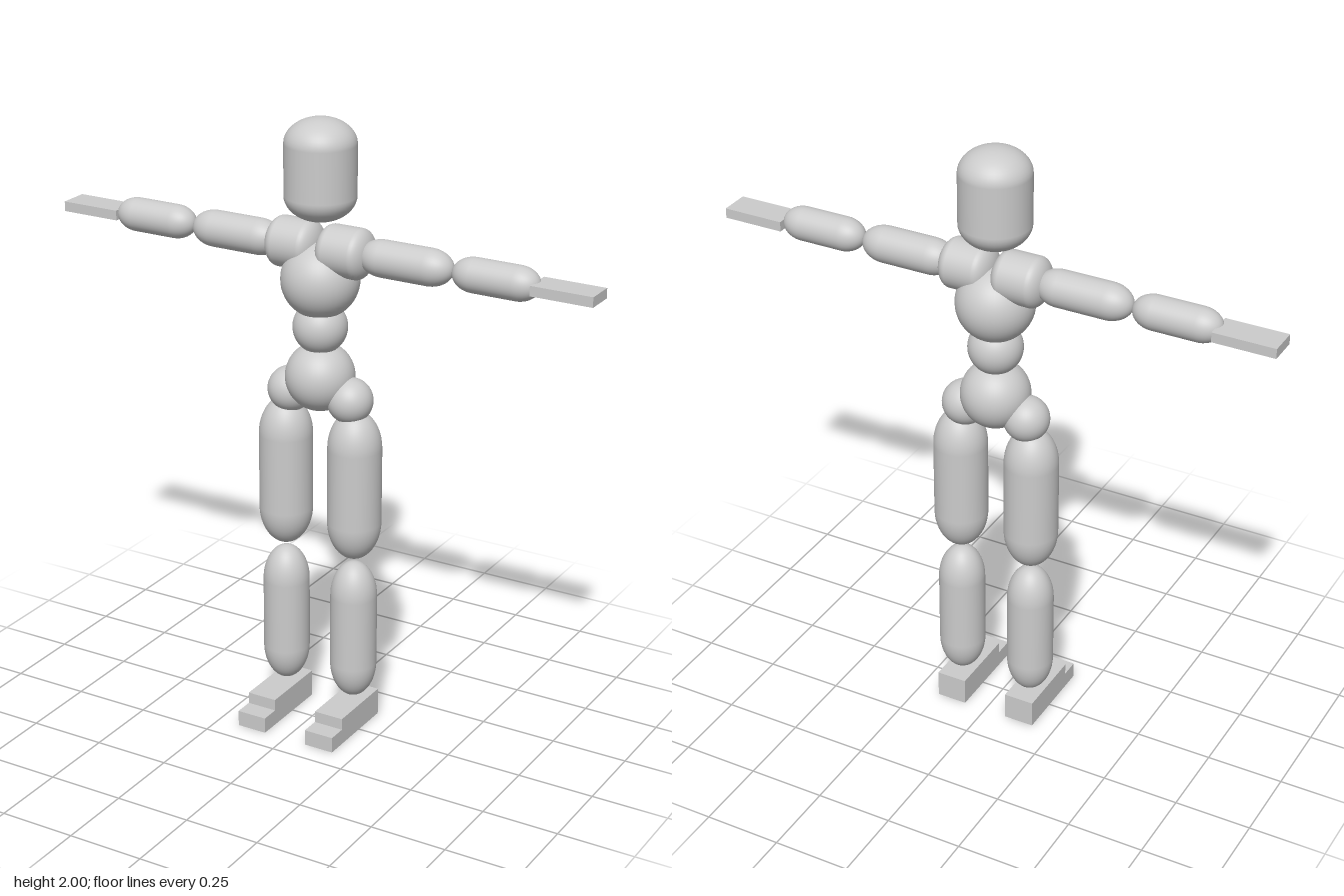
import * as THREE from 'three';

const material = new THREE.MeshStandardMaterial({ color: 0xcccccc });
const Z = -0.047; // depth of the body's centre line

function addPart(parent, name, geometry, x, y, z = Z) {
  const mesh = new THREE.Mesh(geometry, material);
  mesh.name = name;
  mesh.position.set(x, y, z);
  parent.add(mesh);
  return mesh;
}

// Capsule stretched along its axis, each rounded end a quarter of the length
function stretchedCapsule(radius, length) {
  return new THREE.CapsuleGeometry(radius, radius * 2, 12, 40).scale(1, length / (4 * radius), 1);
}

const ball = (radius) => new THREE.SphereGeometry(radius, 40, 28);

// Upright capsule between two heights
function upright(parent, name, radius, x, y0, y1) {
  return addPart(parent, name, stretchedCapsule(radius, y1 - y0), x, (y0 + y1) / 2);
}

// Sideways capsule between two distances from the middle
function sideways(parent, name, radius, side, x0, x1) {
  const geometry = stretchedCapsule(radius, x1 - x0).rotateZ(Math.PI / 2);
  return addPart(parent, name, geometry, side * (x0 + x1) / 2, 1.595);
}

// Stepped foot: side outline extruded across its width
function footGeometry() {
  const width = 0.1;
  const outline = new THREE.Shape([
    [-0.125, 0], [0.175, 0], [0.175, 0.052], [0.112, 0.052], [0.112, 0.09], [-0.125, 0.09],
  ].map(([z, y]) => new THREE.Vector2(z, y)));
  return new THREE.ExtrudeGeometry(outline, { depth: width, bevelEnabled: false })
    .translate(0, 0, -width / 2)
    .rotateY(-Math.PI / 2);
}

export function createModel() {
  const model = new THREE.Group();
  model.name = 'mannequin';

  // Head and torso
  upright(model, 'head', 0.112, 0, 1.68, 2);
  addPart(model, 'chest', ball(0.123), 0, 1.494);
  addPart(model, 'waist', ball(0.086), 0, 1.34);
  addPart(model, 'pelvis', ball(0.11), 0, 1.177);

  for (const [label, side] of [['left', 1], ['right', -1]]) {
    // Arm held straight out
    const arm = new THREE.Group();
    arm.name = `${label}Arm`;
    sideways(arm, 'shoulder', 0.08, side, 0, 0.178);
    sideways(arm, 'upperArm', 0.058, side, 0.14, 0.454);
    sideways(arm, 'forearm', 0.054, side, 0.454, 0.738);
    addPart(arm, 'hand', new THREE.BoxGeometry(0.2, 0.032, 0.096), side * 0.824, 1.593, -0.052);

    // Leg
    const leg = new THREE.Group();
    leg.name = `${label}Leg`;
    addPart(leg, 'hipJoint', ball(0.073), side * 0.107, 1.116);
    upright(leg, 'thigh', 0.086, side * 0.125, 0.585, 1.085);
    upright(leg, 'shin', 0.075, side * 0.125, 0.097, 0.57);
    addPart(leg, 'foot', footGeometry(), side * 0.125, 0, 0);

    model.add(arm, leg);
  }
  return model;
}
